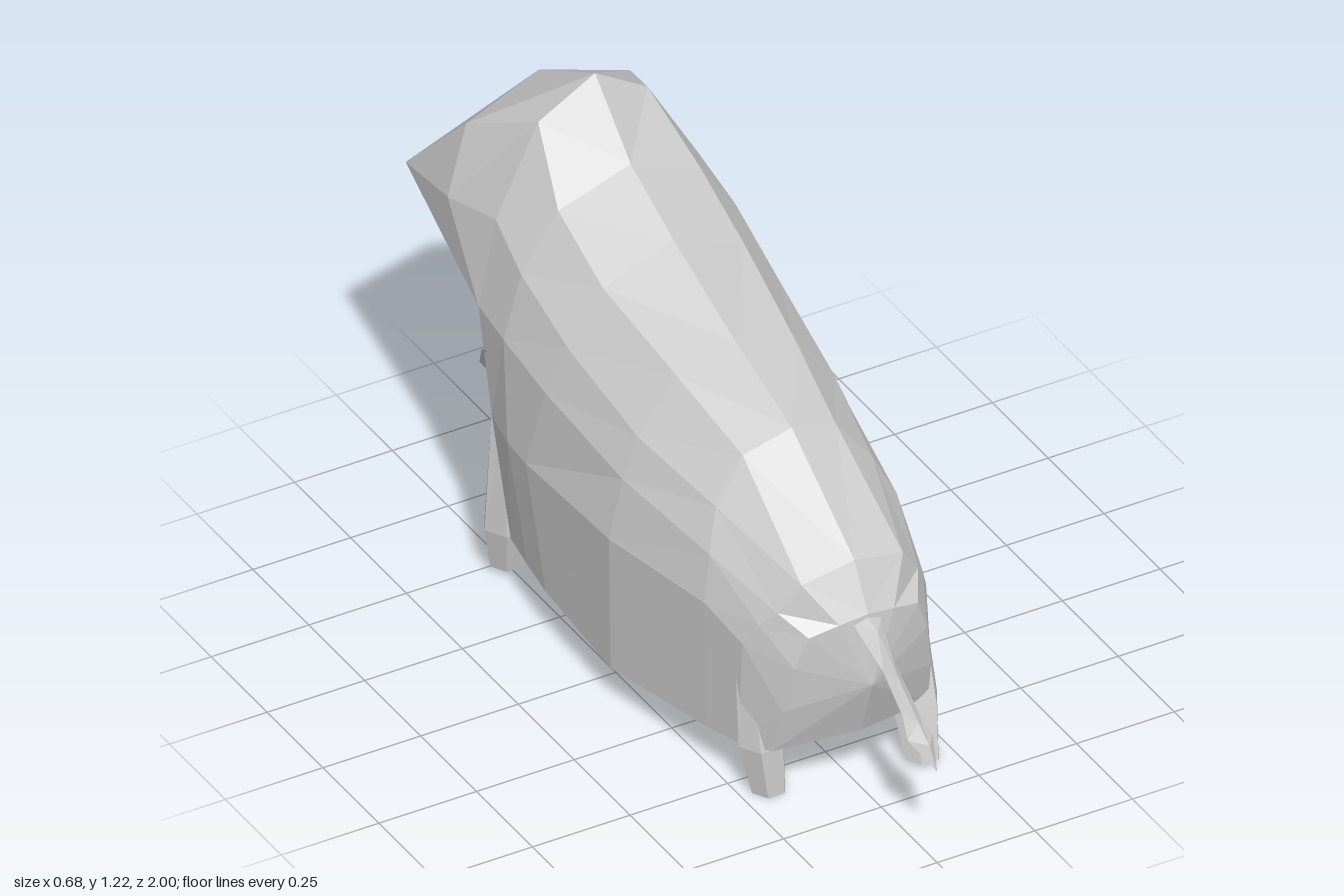
import * as THREE from 'three';

const material = new THREE.MeshStandardMaterial({ color: 0xcccccc, flatShading: true });

// Surface through rows of [x, y, z] points, skipping collapsed triangles
function surface(name, rows, mirror = false) {
  const pos = [];
  const tri = (a, b, c) => {
    const [A, B, C] = [a, b, c].map((p) => new THREE.Vector3(...p));
    if (B.clone().sub(A).cross(C.clone().sub(A)).length() < 1e-7) return;
    pos.push(...a, ...b, ...c);
    if (mirror) for (const p of [a, c, b]) pos.push(-p[0], p[1], p[2]);
  };
  for (let i = 0; i + 1 < rows.length; i++) {
    for (let j = 0; j + 1 < rows[i].length; j++) {
      const a = rows[i][j], b = rows[i][j + 1], c = rows[i + 1][j], d = rows[i + 1][j + 1];
      tri(a, b, d);
      tri(a, d, c);
    }
  }
  const geo = new THREE.BufferGeometry();
  geo.setAttribute('position', new THREE.Float32BufferAttribute(pos, 3));
  geo.computeVertexNormals();
  const mesh = new THREE.Mesh(geo, material);
  mesh.name = name;
  return mesh;
}

// Limb from horizontal rings [x, y, z, radiusX, radiusZ], listed top to bottom
function limb(name, rings, sides = 6) {
  return surface(name, rings.map(([x, y, z, rx, rz]) =>
    Array.from({ length: sides + 1 }, (_, k) => {
      const a = ((k % sides) / sides) * Math.PI * 2;
      return [x + rx * Math.cos(a), y, z + rz * Math.sin(a)];
    })));
}

export function createModel() {
  const group = new THREE.Group();

  // Shared seam points around neck and throat
  const crown = [0, 1.22, -0.53], crownSide = [0.14, 1.13, -0.54];
  const neck = [0.26, 0.92, -0.52], cheek = [0.31, 0.71, -0.51];
  const flank = [0.31, 0.45, -0.45], flankLow = [0.29, 0.14, -0.4];
  const belly = [0, 0.15, -0.53];
  const throat = [0, 0.58, -0.58], throatSide = [0.2, 0.56, -0.57];

  // Half sections from rump to neck: spine, back, upper side, side, mid, low, belly
  group.add(surface('body', [
    Array(7).fill([0, 0.31, 0.71]),
    [[0, 0.49, 0.69], [0.07, 0.48, 0.685], [0.14, 0.46, 0.67], [0.17, 0.38, 0.66],
      [0.19, 0.26, 0.64], [0.2, 0.14, 0.61], [0, 0.16, 0.66]],
    [[0, 0.6, 0.63], [0.13, 0.57, 0.62], [0.18, 0.5, 0.6], [0.21, 0.46, 0.57],
      [0.235, 0.4, 0.54], [0.24, 0.13, 0.53], [0, 0.14, 0.55]],
    [[0, 0.79, 0.35], [0.12, 0.75, 0.34], [0.2, 0.65, 0.36], [0.24, 0.56, 0.4],
      [0.265, 0.45, 0.42], [0.26, 0.115, 0.42], [0, 0.13, 0.45]],
    [[0, 0.87, 0.1], [0.15, 0.83, 0.1], [0.25, 0.7, 0.1], [0.29, 0.6, 0.1],
      [0.325, 0.45, 0.1], [0.32, 0.1, 0.1], [0, 0.11, 0.1]],
    [[0, 0.98, -0.18], [0.18, 0.91, -0.18], [0.27, 0.78, -0.18], [0.315, 0.66, -0.2],
      [0.338, 0.45, -0.25], [0.315, 0.125, -0.2], [0, 0.13, -0.2]],
    [[0, 1.07, -0.37], [0.18, 1, -0.38], [0.275, 0.86, -0.38], [0.32, 0.7, -0.38],
      [0.333, 0.45, -0.34], [0.305, 0.135, -0.3], [0, 0.14, -0.37]],
    [crown, crownSide, neck, cheek, flank, flankLow, belly],
  ], true));

  // Head: crown, brow, front ridge, chin, throat
  group.add(surface('head', [
    [crown, crownSide, neck, cheek],
    [[0, 1.08, -0.78], [0.21, 1.03, -0.74], [0.28, 0.88, -0.7], cheek],
    [[0, 0.83, -1], [0.25, 0.82, -0.94], [0.25, 0.82, -0.94], cheek],
    [[0, 0.52, -0.83], [0.15, 0.55, -0.8], [0.15, 0.55, -0.8], cheek],
    [throat, throatSide, throatSide, cheek],
  ], true));

  group.add(surface('chest', [
    [throat, throatSide, cheek],
    [[0, 0.36, -0.575], [0.21, 0.4, -0.57], flank],
    [[0, 0.16, -0.54], [0.21, 0.15, -0.53], flankLow],
    [belly, belly, belly],
  ], true));

  // Legs: thigh top, body line and foot, each in its own stride
  const legs = [
    ['frontLegLeft', [0.28, 0.45, -0.31], [0.265, 0.13, -0.35], [0.25, 0.01, -0.335]],
    ['frontLegRight', [-0.27, 0.45, -0.46], [-0.26, 0.13, -0.47], [-0.255, 0.02, -0.48]],
    ['backLegLeft', [0.2, 0.42, 0.51], [0.18, 0.14, 0.585], [0.17, 0.02, 0.635]],
    ['backLegRight', [-0.2, 0.42, 0.5], [-0.19, 0.13, 0.545], [-0.18, 0.005, 0.56]],
  ];
  for (const [name, top, knee, foot] of legs) {
    group.add(limb(name, [
      [...top, 0.035, 0.03], [...knee, 0.057, 0.057],
      [...foot, 0.042, 0.042], [...foot, 0, 0],
    ]));
  }

  // Tail with a tufted tip
  group.add(limb('tail', [
    [0, 0.49, 0.66, 0, 0], [0, 0.47, 0.69, 0.035, 0.045], [0, 0.4, 0.79, 0.018, 0.035],
    [0, 0.335, 0.88, 0.02, 0.035], [0, 0.3, 0.925, 0.032, 0.04], [0, 0.25, 1, 0, 0],
  ], 4));

  // Bell under the chin
  group.add(limb('bell', [
    [0, 0.51, -0.67, 0, 0], [0, 0.5, -0.67, 0.045, 0.045], [0, 0.44, -0.67, 0.1, 0.1],
    [0, 0.36, -0.67, 0.09, 0.09], [0, 0.29, -0.67, 0.045, 0.045], [0, 0.28, -0.67, 0, 0],
  ]));

  // Collar strap on both sides
  for (const s of [1, -1]) {
    const path = new THREE.CatmullRomCurve3([
      [0.31, 0.62, -0.475], [0.26, 0.5, -0.565], [0.16, 0.42, -0.63], [0.05, 0.4, -0.66],
    ].map(([x, y, z]) => new THREE.Vector3(s * x, y, z)));
    const strap = new THREE.Mesh(new THREE.TubeGeometry(path, 4, 0.011, 4), material);
    strap.name = s > 0 ? 'strapLeft' : 'strapRight';
    group.add(strap);
  }
  return group;
}
